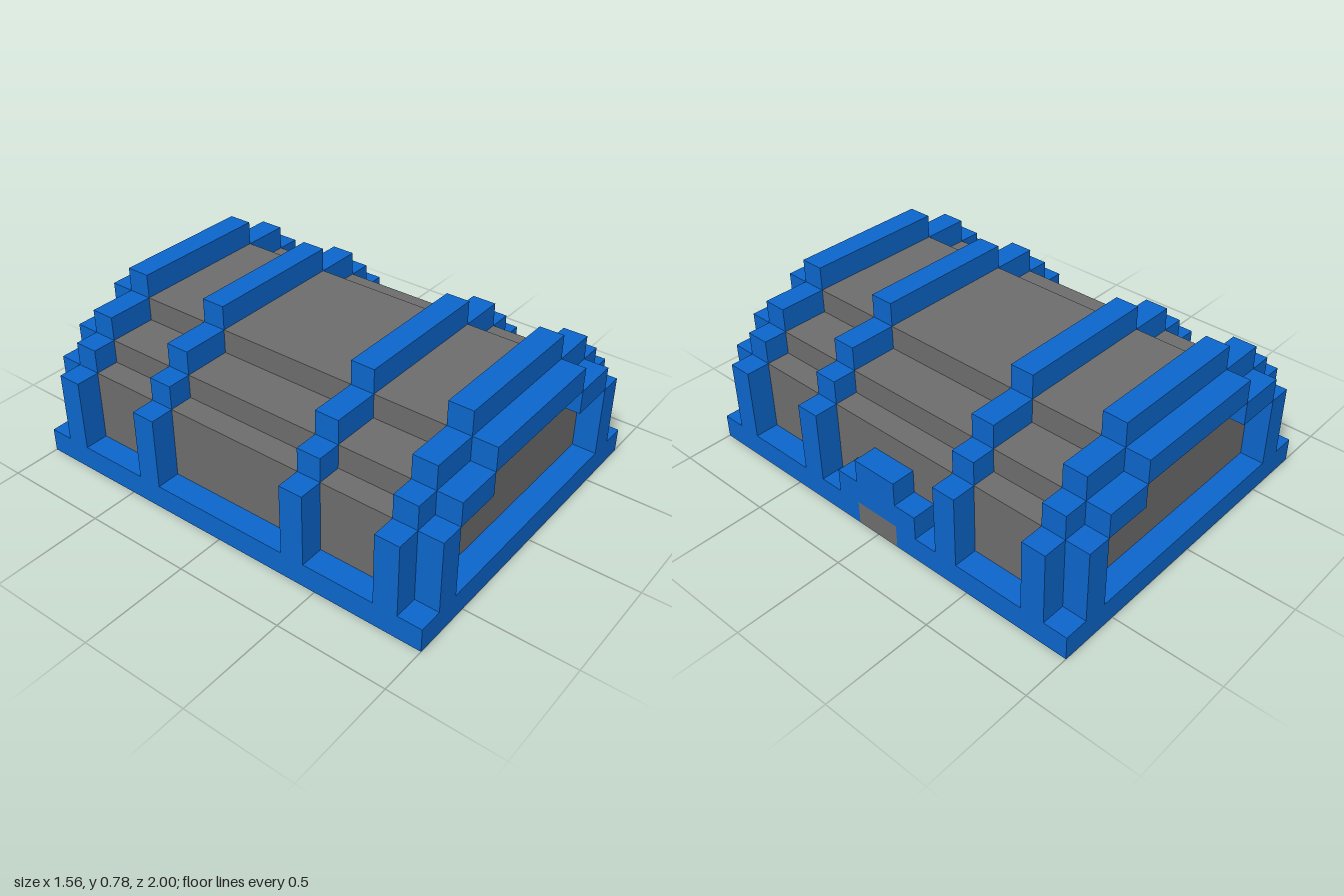
import * as THREE from 'three';

const U = 1 / 9; // one block of the building grid

export function createModel() {
  const model = new THREE.Group();
  model.name = 'vaultedHall';

  const blue = new THREE.MeshStandardMaterial({ color: 0x0c66cc });
  blue.name = 'blue trim';
  const grey = new THREE.MeshStandardMaterial({ color: 0x6d6d6d });
  grey.name = 'grey wall';

  // Block between two grid corners, measured in grid units
  function block(name, material, [x0, x1], [y0, y1], [z0, z1], parent = model) {
    const geometry = new THREE.BoxGeometry((x1 - x0) * U, (y1 - y0) * U, (z1 - z0) * U);
    geometry.translate((x0 + x1) * U / 2, (y0 + y1) * U / 2, (z0 + z1) * U / 2);
    const mesh = new THREE.Mesh(geometry, material);
    mesh.name = name;
    parent.add(mesh);
  }

  // Stepped arch one block deep: posts, shoulders and a crown beam.
  // Offset 0 follows the hall's outline, offset 1 wraps around it.
  function arch(name, z, offset) {
    const group = new THREE.Group();
    group.name = name;
    const depth = [z, z + 1];
    for (const s of [-1, 1]) {
      const span = (a, b) => (s > 0 ? [a, b] : [-b, -a]);
      block('post', blue, span(5 + offset, 6 + offset), [1, 4], depth, group);
      if (offset) block('haunch', blue, span(5, 6), [4, 5], depth, group);
      block('shoulder', blue, span(3, 5), [4 + offset, 5 + offset], depth, group);
    }
    block('crownBeam', blue, [-3, 3], [5 + offset, 6 + offset], depth, group);
    model.add(group);
  }

  // Base plinth, interrupted by the doorway on the +x side
  block('frontPlinth', blue, [-7, 7], [0, 1], [8, 9]);
  block('backPlinth', blue, [-7, 7], [0, 1], [-9, -8]);
  block('rightPlinth', blue, [-7, -6], [0, 1], [-8, 8]);
  block('leftPlinthFront', blue, [6, 7], [0, 1], [1, 8]);
  block('leftPlinthBack', blue, [6, 7], [0, 1], [-8, -1]);

  // Door with its stepped surround
  block('door', grey, [6, 7], [0, 1], [-1, 1]);
  block('doorLintel', blue, [6, 7], [1, 2], [-2, 2]);
  block('doorGable', blue, [6, 7], [2, 3], [-1, 1]);

  // Hollow hall, open underneath, with a stepped roof
  block('leftWall', grey, [5, 6], [0, 4], [-8, 8]);
  block('rightWall', grey, [-6, -5], [0, 4], [-8, 8]);
  block('frontWall', grey, [-5, 5], [0, 4], [7, 8]);
  block('backWall', grey, [-5, 5], [0, 4], [-8, -7]);
  block('lowerRoof', grey, [-5, 5], [4, 5], [-8, 8]);
  block('upperRoof', grey, [-3, 3], [5, 6], [-8, 8]);

  // Ribs over the hall, and the portal frames at both ends
  for (const z of [-8, -4, 3, 7]) arch('rib', z, 1);
  arch('frontFrame', 8, 0);
  arch('backFrame', -9, 0);

  return model;
}
